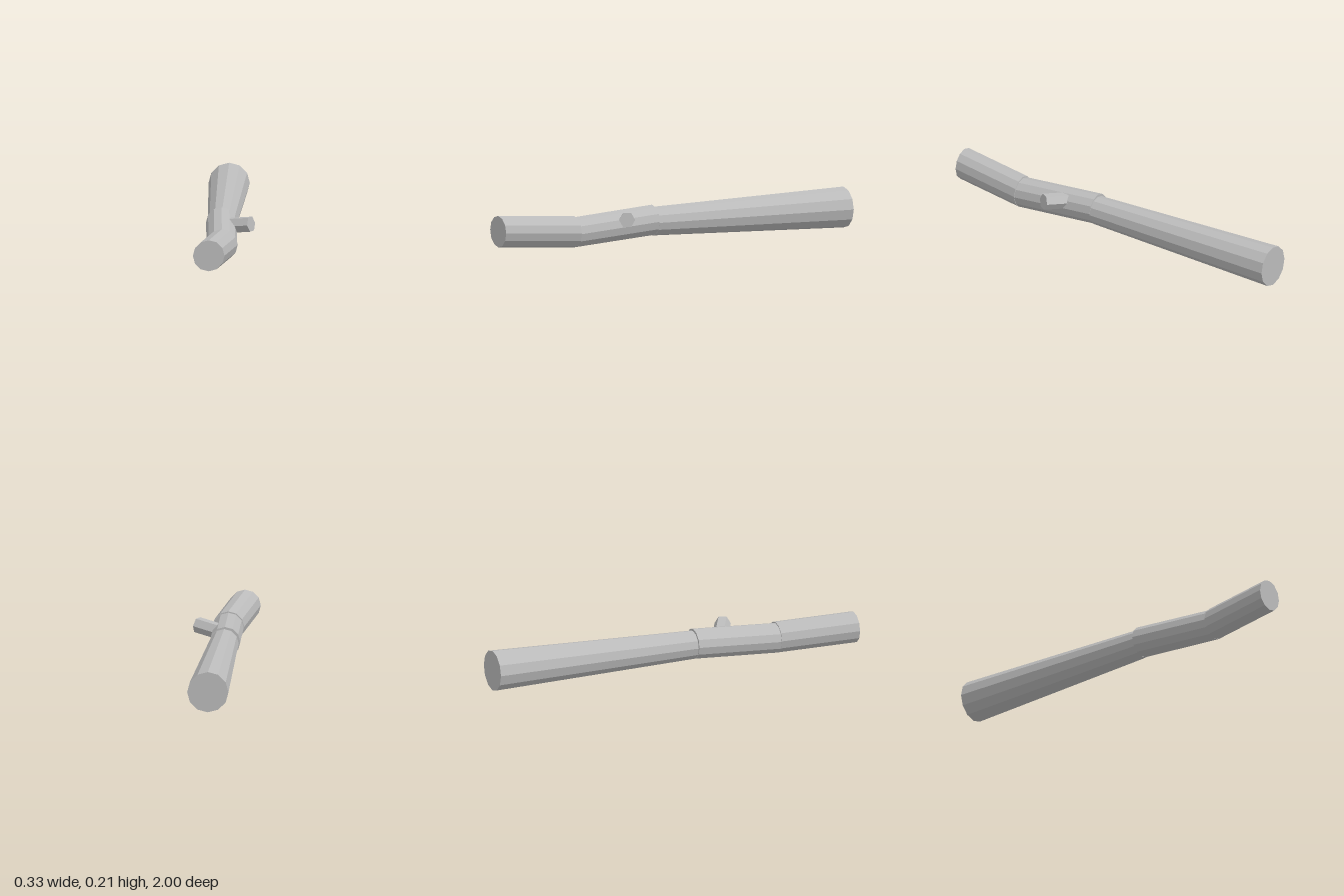
import * as THREE from 'three';

// Tapered 12-sided section between two rings [x, y, z, radius], ends square to z
function section(back, front) {
  const length = front[2] - back[2];
  const geo = new THREE.CylinderGeometry(front[3], back[3], length, 12);
  geo.rotateX(Math.PI / 2);
  const p = geo.attributes.position;
  for (let i = 0; i < p.count; i++) {
    const t = p.getZ(i) / length + 0.5;
    p.setXYZ(
      i,
      p.getX(i) + THREE.MathUtils.lerp(back[0], front[0], t),
      p.getY(i) + THREE.MathUtils.lerp(back[1], front[1], t),
      p.getZ(i) + (back[2] + front[2]) / 2
    );
  }
  geo.computeVertexNormals();
  return geo;
}

// Six-sided stub from a to b, with a flat face on top
function stub(a, b, radius) {
  const dir = b.clone().sub(a);
  const geo = new THREE.CylinderGeometry(radius, radius, dir.length(), 6);
  dir.normalize();
  const side = new THREE.Vector3(dir.z, 0, -dir.x).normalize();
  const up = dir.clone().cross(side);
  geo.applyMatrix4(new THREE.Matrix4().makeBasis(up, dir, side));
  const mid = a.clone().add(b).multiplyScalar(0.5);
  return geo.translate(mid.x, mid.y, mid.z);
}

export function createModel() {
  const group = new THREE.Group();
  const bark = new THREE.MeshStandardMaterial({ color: 0xbbbbbb, flatShading: true });
  bark.name = 'grey';

  const add = (name, geo) => {
    const mesh = new THREE.Mesh(geo, bark);
    mesh.name = name;
    group.add(mesh);
  };

  // Three stick sections, with small steps at the joints
  add('thickEnd', section([0.0375, 0.107, -1, 0.107], [-0.006, 0.112, 0.12, 0.075]));
  add('middleSection', section([-0.01, 0.118, 0.12, 0.08], [-0.011, 0.088, 0.592, 0.079]));
  add('bentTip', section([-0.0105, 0.092, 0.588, 0.082], [-0.082, 0.114, 1, 0.082]));

  // Short side twig
  add('twig', stub(new THREE.Vector3(0.03, 0.136, 0.293), new THREE.Vector3(0.142, 0.155, 0.358), 0.042));

  return group;
}
